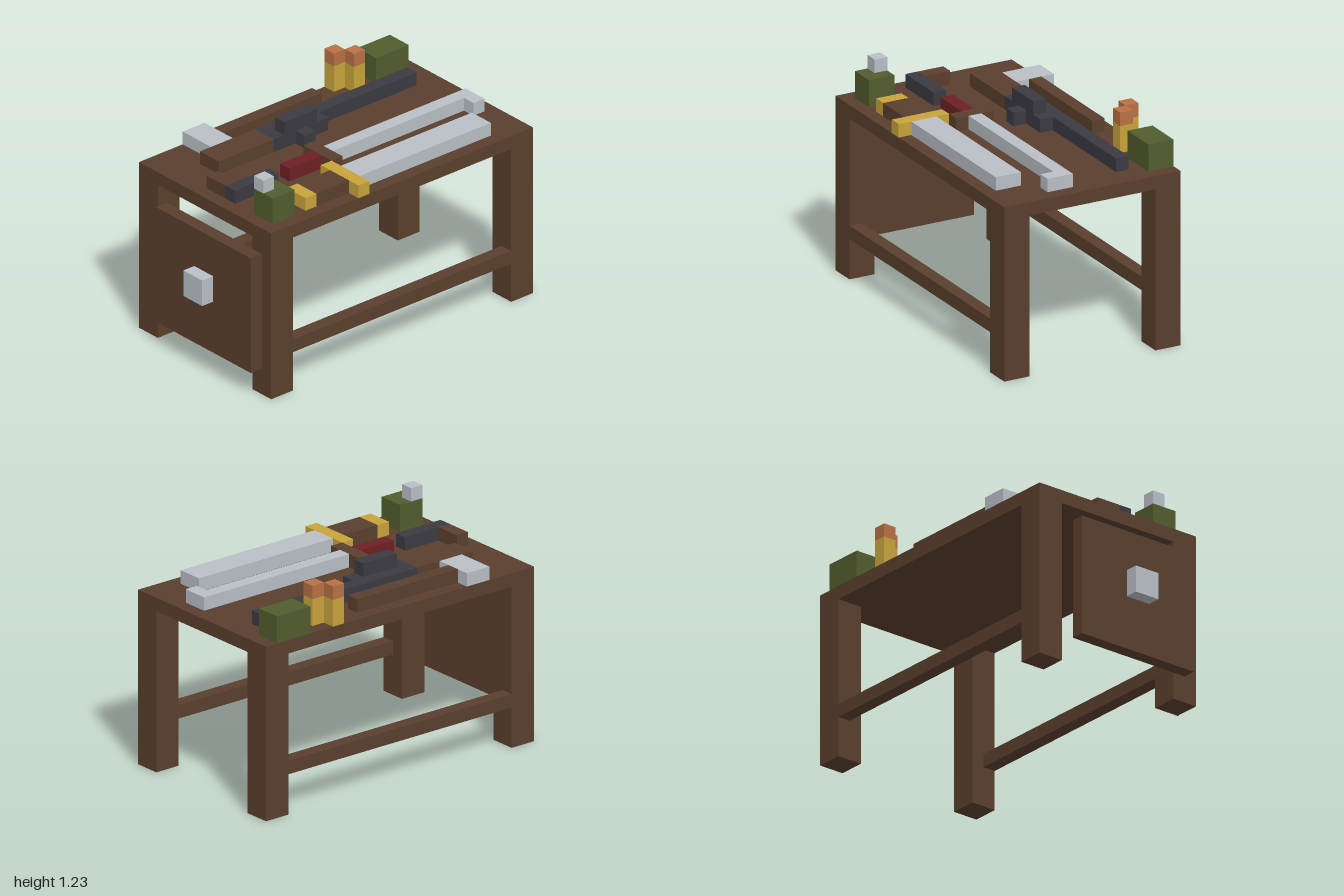
import * as THREE from 'three';

const U = 1 / 13; // edge of one block

export function createModel() {
  const model = new THREE.Group();
  model.name = 'workbench';

  const mat = (name, color) => {
    const m = new THREE.MeshStandardMaterial({ color });
    m.name = name;
    return m;
  };
  const wood = mat('brownWood', 0x5a3f2d);
  const steel = mat('paleSteel', 0xb9bfc6);
  const gunmetal = mat('darkMetal', 0x3b3a42);
  const green = mat('oliveGreen', 0x515c2d);
  const gold = mat('gold', 0xc8a43b);
  const red = mat('darkRed', 0x6d2025);
  const copper = mat('copper', 0xb87144);

  const group = (name) => {
    const g = new THREE.Group();
    g.name = name;
    model.add(g);
    return g;
  };

  // Box spanning two corners, given in blocks
  const box = (parent, name, material, x0, x1, y0, y1, z0, z1) => {
    const geo = new THREE.BoxGeometry((x1 - x0) * U, (y1 - y0) * U, (z1 - z0) * U);
    const mesh = new THREE.Mesh(geo, material);
    mesh.position.set((x0 + x1) / 2 * U, (y0 + y1) / 2 * U, (z0 + z1) / 2 * U);
    mesh.name = name;
    parent.add(mesh);
  };
  // One-block-high box lying on the tabletop
  const lay = (parent, name, material, x0, x1, z0, z1) =>
    box(parent, name, material, x0, x1, 13, 14, z0, z1);

  // Table: top, four legs, long rails
  const table = group('table');
  box(table, 'tabletop', wood, -11, 13, 12, 13, -7, 7);
  for (const s of [-1, 1]) {
    const z0 = s > 0 ? 5 : -7;
    const side = s > 0 ? 'front' : 'back';
    box(table, side + 'RightLeg', wood, -11, -9, 0, 12, z0, z0 + 2);
    box(table, side + 'LeftLeg', wood, 11, 13, 0, 12, z0, z0 + 2);
    box(table, side + 'Rail', wood, -9, 11, 3, 4, s > 0 ? 6 : -7, s > 0 ? 7 : -6);
  }

  // Shield hung on the right end
  const shield = group('shield');
  box(shield, 'shieldBoard', wood, -12, -11, 2, 11, -4, 6);
  box(shield, 'shieldBoss', steel, -13, -12, 6, 8, 0, 2);

  // Hammer
  const hammer = group('hammer');
  lay(hammer, 'hammerHead', steel, -7, -5, -7, -4);
  lay(hammer, 'hammerHandle', wood, -5, 4, -6, -5);

  // Rifle
  const rifle = group('rifle');
  lay(rifle, 'rifleStock', wood, -8, -3, -4, -2);
  lay(rifle, 'rifleBody', gunmetal, -3, 2, -4, -2);
  lay(rifle, 'rifleBarrel', gunmetal, 2, 11, -4, -3);
  lay(rifle, 'rifleGrip', gunmetal, -1, 0, -2, -1);
  box(rifle, 'rifleScope', gunmetal, -2, 1, 14, 15, -3, -2);

  // Pistol
  const pistol = group('pistol');
  lay(pistol, 'pistolBarrel', gunmetal, -10, -6, 1, 2);
  lay(pistol, 'pistolGrip', wood, -10, -9, -1, 1);

  // Curved blade with red grip
  const sabre = group('sabre');
  lay(sabre, 'sabreGrip', red, -5, -2, 1, 2);
  lay(sabre, 'sabreGuard', wood, -2, -1, 0, 3);
  lay(sabre, 'sabreBlade', steel, -1, 12, 1, 2);
  lay(sabre, 'sabreTip', steel, 11, 12, 2, 3);

  // Broad sword
  const sword = group('sword');
  lay(sword, 'swordPommel', gold, -7, -6, 4, 6);
  lay(sword, 'swordGrip', wood, -6, -3, 4, 6);
  lay(sword, 'swordGuard', gold, -3, -2, 3, 7);
  lay(sword, 'swordBlade', steel, -2, 10, 4, 6);

  // Two cartridges
  const cartridges = group('cartridges');
  for (const [x, z] of [[6, -7], [7, -6]]) {
    box(cartridges, 'cartridgeCase', gold, x, x + 1, 13, 15, z, z + 1);
    box(cartridges, 'cartridgeTip', copper, x, x + 1, 15, 16, z, z + 1);
  }

  // Ammunition box and capped canister
  const containers = group('containers');
  box(containers, 'ammunitionBox', green, 9, 12, 13, 15, -7, -5);
  box(containers, 'canister', green, -10, -8, 13, 15, 4, 6);
  box(containers, 'canisterCap', steel, -10, -9, 15, 16, 4, 5);

  return model;
}
